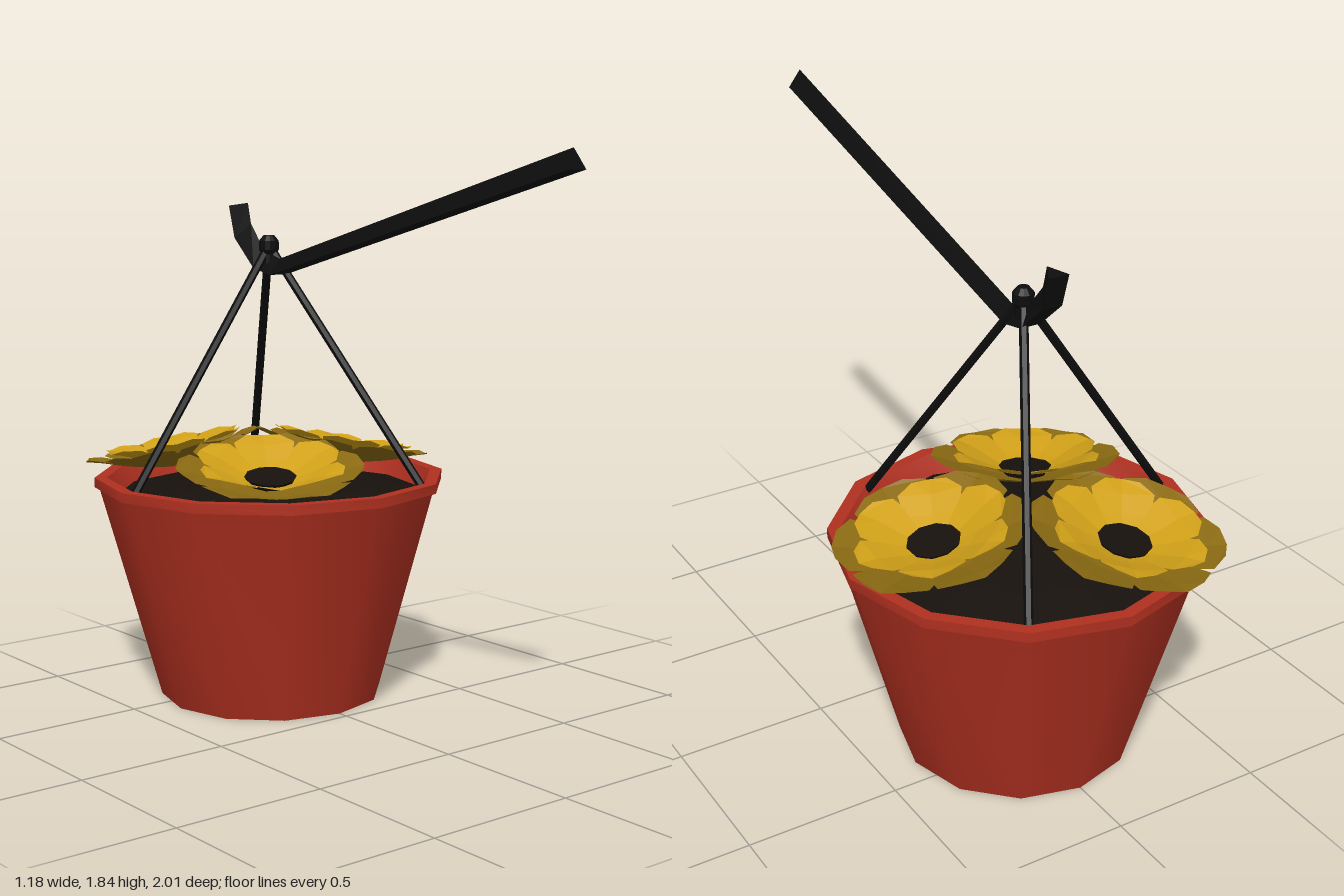
import * as THREE from 'three';
import { toCreasedNormals } from 'three/addons/utils/BufferGeometryUtils.js';

const POT_Z = -0.41;
const mat = (color, flat = true, side = THREE.FrontSide) => {
  const m = new THREE.MeshStandardMaterial({ color, flatShading: flat, side });
  return m;
};
const red = mat(0xb03020, false);
const black = mat(0x0d0d0d);
const soilMat = mat(0x17110d);
const innerYellow = mat(0xd0a018, true, THREE.DoubleSide);
const outerYellow = mat(0x8a6a12, true, THREE.DoubleSide);

function add(parent, name, geometry, material) {
  const mesh = new THREE.Mesh(geometry, material);
  mesh.name = name;
  parent.add(mesh);
  return mesh;
}

function lathe(points) {
  return new THREE.LatheGeometry(points.map(([r, y]) => new THREE.Vector2(r, y)), 12);
}

function indexed(positions, indices) {
  const g = new THREE.BufferGeometry();
  g.setAttribute('position', new THREE.Float32BufferAttribute(positions, 3));
  g.setIndex(indices);
  g.computeVertexNormals();
  return g;
}

// Rod between two points
function rod(a, b, radius) {
  const dir = b.clone().sub(a);
  const g = new THREE.CylinderGeometry(radius, radius, dir.length(), 6);
  g.applyQuaternion(new THREE.Quaternion().setFromUnitVectors(new THREE.Vector3(0, 1, 0), dir.normalize()));
  const mid = a.clone().add(b).multiplyScalar(0.5);
  return g.translate(mid.x, mid.y, mid.z);
}

// Triangular bar: each section is [z of base, y of base, z of ridge, y of ridge]
function triangularBar(sections, half) {
  const pos = [], idx = [0, 1, 2];
  sections.forEach(([zb, yb, zt, yt]) => pos.push(0, yt, zt, -half, yb, zb, half, yb, zb));
  for (let i = 0; i < sections.length - 1; i++) {
    for (let j = 0; j < 3; j++) {
      const a = i * 3 + j, b = i * 3 + (j + 1) % 3;
      idx.push(a, a + 3, b, b, a + 3, b + 3);
    }
  }
  const e = (sections.length - 1) * 3;
  idx.push(e, e + 2, e + 1);
  return indexed(pos, idx);
}

// Petal along +x: stations are [distance, half width, height], with raised edges
function petal(stations, cup) {
  const pos = [], idx = [];
  stations.forEach(([r, w, y], i) => {
    // the outer end is rounded by pulling its corners back
    const back = i === stations.length - 1 ? 0.015 : 0;
    for (const s of [-1, 0, 1]) pos.push(r - back * Math.abs(s), y + cup * w * Math.abs(s), s * w);
    if (i === 0) return;
    for (let j = 0; j < 2; j++) {
      const a = (i - 1) * 3 + j, b = i * 3 + j;
      idx.push(a, a + 1, b, b, a + 1, b + 1);
    }
  });
  return indexed(pos, idx);
}

function flower(name) {
  const g = new THREE.Group();
  g.name = name;
  const inner = petal([[0.05, 0.03, 0.005], [0.12, 0.085, 0.03], [0.19, 0.1, 0.06], [0.25, 0.055, 0.075]], 0.12);
  const outer = petal([[0.04, 0.03, -0.01], [0.16, 0.11, 0.015], [0.25, 0.13, 0.045], [0.305, 0.07, 0.06]], 0.1);
  for (let i = 0; i < 6; i++) {
    add(g, 'innerPetal', inner, innerYellow).rotation.y = i * Math.PI / 3;
    add(g, 'outerPetal', outer, outerYellow).rotation.y = (i + 0.5) * Math.PI / 3;
  }
  add(g, 'flowerCentre', new THREE.CylinderGeometry(0.085, 0.07, 0.025, 10), soilMat).position.y = 0.013;
  return g;
}

export function createModel() {
  const model = new THREE.Group();
  model.name = 'hangingFlowerPot';

  // Tapered pot with lip and inner wall
  const pot = new THREE.Group();
  pot.name = 'pot';
  pot.position.z = POT_Z;
  model.add(pot);
  const profile = [[0, 0], [0.375, 0], [0.575, 0.72], [0.59, 0.72], [0.59, 0.752], [0.55, 0.752], [0.5, 0.66]];
  add(pot, 'potShell', toCreasedNormals(lathe(profile), 0.6), red);

  // Low mound of soil
  add(pot, 'soil', lathe([[0.52, 0.69], [0.35, 0.725], [0.15, 0.755], [0, 0.765]]), soilMat);

  // Three flowers leaning outwards
  for (const [x, z, angle] of [[0.3, 0, 0], [-0.185, -0.29, 120], [-0.185, 0.25, 240]]) {
    const holder = new THREE.Group();
    holder.name = 'flowerHolder';
    holder.position.set(x, 0.772, z);
    holder.rotation.y = angle * Math.PI / 180;
    const bloom = flower('flower');
    bloom.rotation.z = -0.2;
    holder.add(bloom);
    pot.add(holder);
  }

  // Three hanging wires meeting under the knob
  const apex = new THREE.Vector3(0, 1.52, 0);
  for (const deg of [180, 60, -60]) {
    const a = deg * Math.PI / 180;
    const foot = new THREE.Vector3(0.545 * Math.cos(a), 0.735, 0.545 * Math.sin(a));
    add(pot, 'wire', rod(foot, apex, 0.014), black);
  }
  const knob = lathe([[0, 1.44], [0.024, 1.44], [0.024, 1.49], [0.033, 1.505], [0.033, 1.535], [0.018, 1.553], [0, 1.553]]);
  add(pot, 'knob', knob, black);

  // Bracket arm ending in an upturned hook
  const arm = triangularBar([
    [1.0, 1.78, 0.985, 1.84],
    [-0.36, 1.425, -0.35, 1.478],
    [-0.45, 1.443, -0.435, 1.5],
    [-0.557, 1.54, -0.51, 1.588],
    [-0.588, 1.647, -0.527, 1.657],
  ], 0.035);
  add(model, 'bracketArm', arm, black);

  return model;
}
